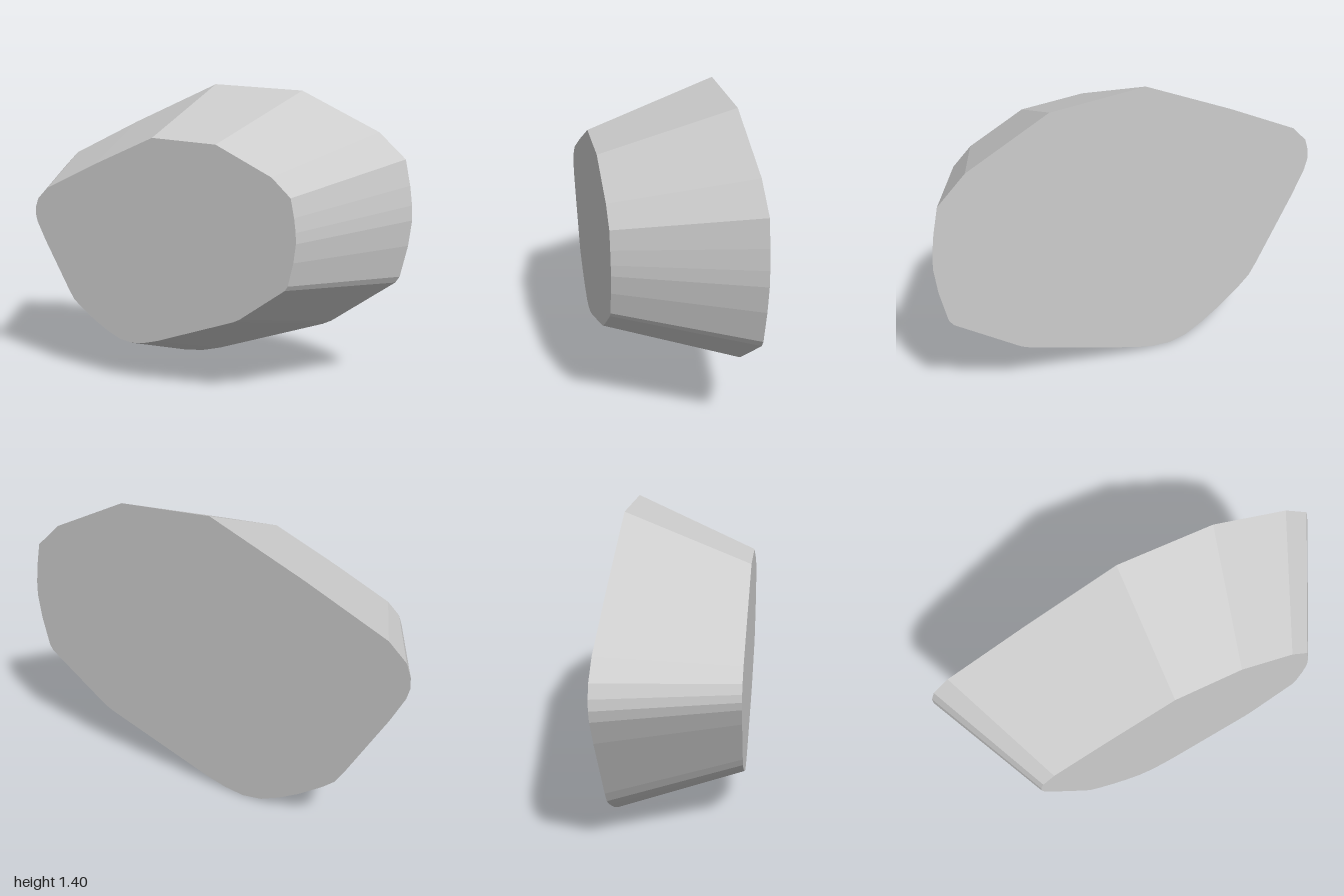
import * as THREE from 'three';

const HALF_DEPTH = 0.295;
const TAPER = 0.7; // front outline size relative to the back
const CENTRE = { x: -0.067, y: 0.633 }; // point the sides taper towards

// Back outline, clockwise from the top
const OUTLINE = [
  [-0.03, 1.4], [0.44, 1.375], [0.83, 1.19], [0.96, 1.07],
  [0.985, 0.95], [0.997, 0.86], [1, 0.79], [0.985, 0.67], [0.95, 0.52], [0.93, 0.49],
  [0.615, 0.265], [0.57, 0.243], [0, 0.04], [-0.1, 0.013], [-0.2, 0], [-0.3, 0.015],
  [-0.4, 0.06], [-0.5, 0.117], [-0.62, 0.2], [-0.68, 0.25], [-0.72, 0.31],
  [-0.92, 0.65], [-0.985, 0.775], [-1, 0.83], [-0.997, 0.88], [-0.975, 0.94],
  [-0.89, 1.02], [-0.5, 1.2],
];

export function createModel() {
  const group = new THREE.Group();
  group.name = 'taperedStone';
  const stone = new THREE.MeshStandardMaterial({ color: 0xcccccc });
  stone.name = 'light grey';

  // Extruded outline whose front end shrinks towards the centre
  const shape = new THREE.Shape(OUTLINE.map(([x, y]) => new THREE.Vector2(x, y)));
  const geometry = new THREE.ExtrudeGeometry(shape, { depth: HALF_DEPTH * 2, bevelEnabled: false });
  geometry.translate(0, 0, -HALF_DEPTH);
  const p = geometry.attributes.position;
  for (let i = 0; i < p.count; i++) {
    if (p.getZ(i) < 0) continue;
    p.setXY(
      i,
      THREE.MathUtils.lerp(CENTRE.x, p.getX(i), TAPER),
      THREE.MathUtils.lerp(CENTRE.y, p.getY(i), TAPER),
    );
  }
  geometry.computeVertexNormals();

  const body = new THREE.Mesh(geometry, stone);
  body.name = 'stoneBody';
  group.add(body);
  return group;
}
